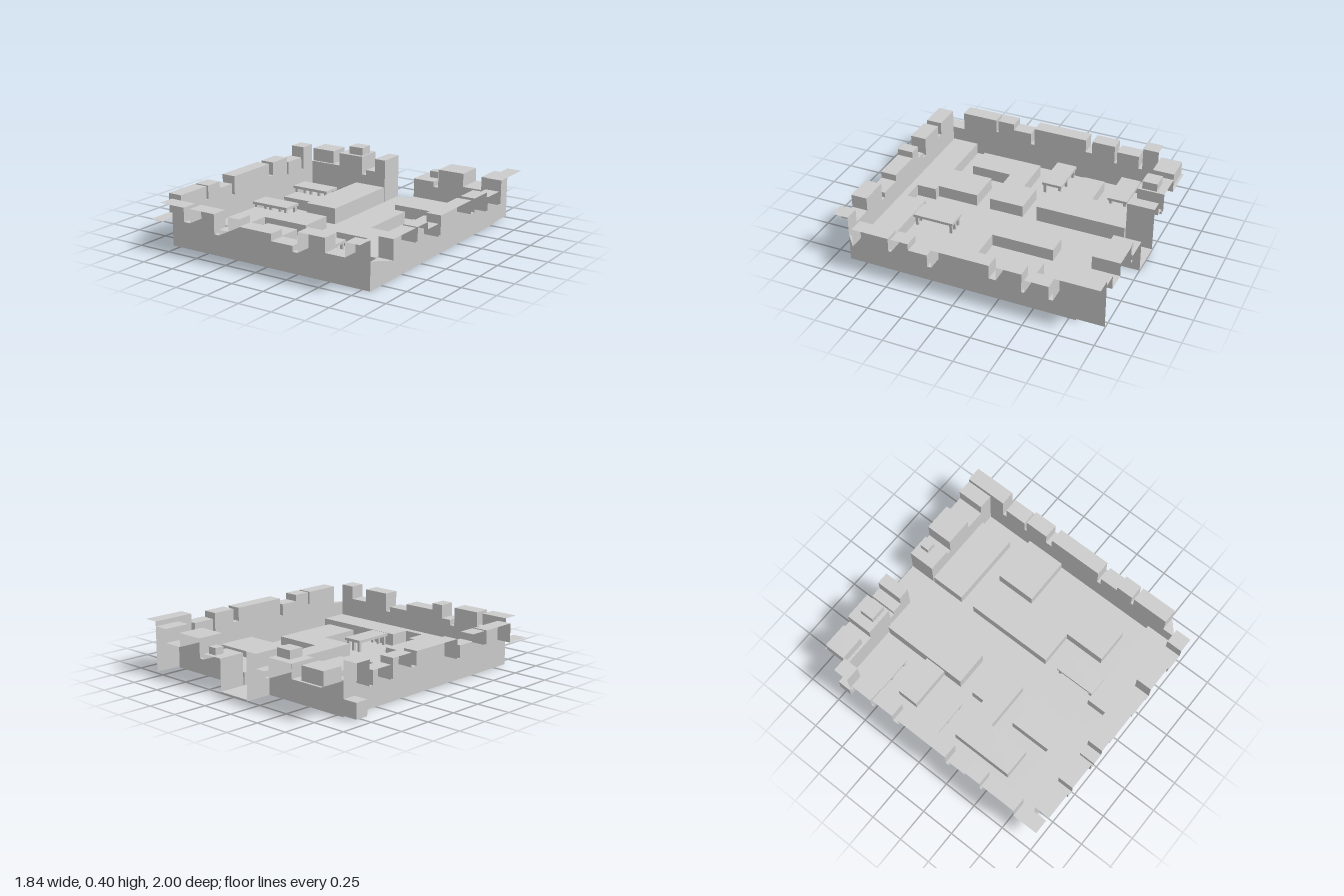
import * as THREE from 'three';

const mat = new THREE.MeshStandardMaterial({ color: 0xcccccc, flatShading: true, side: THREE.DoubleSide });
const FLOOR = 0.01;

function add(parent, name, geometry) {
  const mesh = new THREE.Mesh(geometry, mat);
  mesh.name = name;
  parent.add(mesh);
  return mesh;
}

// Box given by its limits on each axis
function box(parent, name, x0, x1, y0, y1, z0, z1) {
  add(parent, name, new THREE.BoxGeometry(x1 - x0, y1 - y0, z1 - z0))
    .position.set((x0 + x1) / 2, (y0 + y1) / 2, (z0 + z1) / 2);
}

// Flat plan outline of [x, z] points raised from the ground to a height
function block(parent, name, plan, height) {
  const shape = new THREE.Shape(plan.map(([x, z]) => new THREE.Vector2(x, -z)));
  const geo = new THREE.ExtrudeGeometry(shape, { depth: height, bevelEnabled: false });
  add(parent, name, geo.rotateX(-Math.PI / 2));
}

// Thin sheets from lists of four corners
function sheets(parent, name, quads) {
  const pos = [];
  for (const [a, b, c, d] of quads) pos.push(...a, ...b, ...c, ...a, ...c, ...d);
  const geo = new THREE.BufferGeometry();
  geo.setAttribute('position', new THREE.Float32BufferAttribute(pos, 3));
  geo.computeVertexNormals();
  add(parent, name, geo);
}

// Battlement wall: inner sheet, stepped top ledge reaching outwards, risers between.
// steps = [start, height] pairs along the wall, at(t, y, d) places a point (d: 0 inner, 1 outer)
function wall(parent, name, steps, end, at) {
  const quads = [];
  steps.forEach(([t0, h], i) => {
    const t1 = i + 1 < steps.length ? steps[i + 1][0] : end;
    if (h === 0) return; // opening
    quads.push([at(t0, FLOOR, 0), at(t1, FLOOR, 0), at(t1, h, 0), at(t0, h, 0)]);
    quads.push([at(t0, h, 0), at(t1, h, 0), at(t1, h, 1), at(t0, h, 1)]);
    const next = steps[i + 1];
    if (next && next[1] > 0) quads.push([at(t1, h, 0), at(t1, next[1], 0), at(t1, next[1], 1), at(t1, h, 1)]);
  });
  sheets(parent, name, quads);
}

// Low shelter: posts, beams and a roof plate
function shelter(parent, name, x0, x1, z0, z1, height) {
  const g = new THREE.Group();
  g.name = name;
  const p = 0.02;
  box(g, 'roof', x0, x1, height - 0.02, height, z0, z1);
  for (const x of [x0 + 0.01, (x0 + x1 - p) / 2, x1 - p - 0.01])
    for (const z of [z0 + 0.01, z1 - p - 0.01])
      box(g, 'post', x, x + p, FLOOR, height - 0.02, z, z + p);
  parent.add(g);
}

const rect = (x0, x1, z0, z1) => [[x0, z0], [x1, z0], [x1, z1], [x0, z1]];

export function createModel() {
  const model = new THREE.Group();
  model.name = 'walledCourtyard';

  // Courtyard floor with the passage through the back gate
  block(model, 'floor', [[-0.81, -0.8], [-0.13, -0.8], [-0.13, -1], [0.13, -1], [0.13, -0.8],
    [0.81, -0.8], [0.81, 0.88], [-0.81, 0.88]], FLOOR);

  // Front and back walls
  const front = [[-0.81, 0.34], [-0.6, 0.24], [-0.55, 0.34], [-0.34, 0.2], [-0.3, 0.24], [-0.22, 0.34],
    [-0.13, 0.29], [0.13, 0.24], [0.3, 0.2], [0.34, 0.34], [0.55, 0.24], [0.7, 0.34]];
  wall(model, 'frontWall', front, 0.81, (x, y, d) => [x, y, 0.88 + 0.12 * d]);
  const back = [[-0.81, 0.24], [-0.55, 0.34], [-0.34, 0.2], [-0.3, 0.24], [-0.22, 0.34],
    [-0.13, 0], [0.13, 0.24], [0.3, 0.2], [0.34, 0.34], [0.55, 0.24], [0.7, 0.34]];
  wall(model, 'backWall', back, 0.81, (x, y, d) => [x, y, -0.8 - 0.2 * d]);

  // Side walls
  const side = [[-0.8, 0.375], [-0.68, 0.2], [-0.65, 0.3], [-0.48, 0.2], [-0.46, 0.34], [-0.28, 0.24],
    [-0.23, 0.34], [0.19, 0.2], [0.22, 0.29], [0.36, 0.34], [0.49, 0.24], [0.51, 0.34], [0.785, 0.2]];
  wall(model, 'leftWall', [[-1, 0.375], ...side.slice(1)], 0.785, (z, y, d) => [0.81 + 0.11 * d, y, z]);
  wall(model, 'rightWall', side, 0.88, (z, y, d) => [-0.81 - 0.11 * d, y, z]);

  // Corner ledges, and the left wall's last stretch
  sheets(model, 'cornerLedge', [
    [[0.81, 0.2, 0.785], [0.92, 0.2, 0.785], [0.81, 0.2, 0.88], [0.81, 0.2, 0.88]],
    [[0.81, FLOOR, 0.785], [0.81, FLOOR, 0.88], [0.81, 0.2, 0.88], [0.81, 0.2, 0.785]],
    [[-0.92, 0.2, 0.88], [-0.81, 0.2, 0.88], [-0.81, 0.2, 0.98], [-0.92, 0.2, 0.98]],
  ]);

  // Passage sides at the back gate
  for (const [x, h] of [[-0.13, 0.34], [0.13, 0.24]])
    sheets(model, 'gateSide', [[[x, FLOOR, -0.8], [x, FLOOR, -1], [x, h, -1], [x, h, -0.8]]]);

  // Boxes on the back wall and at the outer corner
  box(model, 'cornerTurret', -0.81, -0.62, 0.24, 0.34, -0.98, -0.82);
  box(model, 'wallCap', -0.475, -0.355, 0.34, 0.4, -0.94, -0.83);
  box(model, 'wallCap', 0.21, 0.28, 0.24, 0.29, -0.97, -0.9);
  box(model, 'outerBlock', -0.92, -0.81, FLOOR, 0.12, -0.8, -0.7);

  // Raised blocks in the courtyard
  block(model, 'tallBlock', rect(-0.385, -0.13, -0.79, -0.12), 0.13);
  block(model, 'sideBlock', rect(-0.7, -0.385, -0.43, -0.27), 0.09);
  block(model, 'backBlock', rect(0.13, 0.7, -0.79, -0.53), 0.1);
  block(model, 'squareBlock', rect(0.44, 0.8, -0.42, -0.12), 0.1);
  block(model, 'hookBlock', [[0.13, -0.42], [0.28, -0.42], [0.28, 0.04], [0.645, 0.04], [0.645, 0.56],
    [0.385, 0.56], [0.385, 0.25], [0.13, 0.25]], 0.1);
  block(model, 'steppedBlock', [[-0.385, -0.01], [-0.13, -0.01], [-0.13, 0.25], [-0.49, 0.25],
    [-0.49, 0.56], [-0.7, 0.56], [-0.7, 0.09], [-0.385, 0.09]], 0.1);
  block(model, 'frontTerrace', [[-0.8, 0.67], [-0.385, 0.67], [-0.385, 0.355], [-0.13, 0.355], [-0.13, 0.67],
    [-0.08, 0.67], [-0.08, 0.82], [0.08, 0.82], [0.08, 0.67], [0.8, 0.67], [0.8, 0.87], [-0.8, 0.87]], 0.1);

  // Open shelters
  shelter(model, 'rightBackShelter', -0.8, -0.49, -0.68, -0.53, 0.1);
  shelter(model, 'rightMiddleShelter', -0.8, -0.49, -0.165, -0.01, 0.1);
  shelter(model, 'frontShelter', 0.13, 0.28, 0.355, 0.665, 0.1);

  return model;
}
